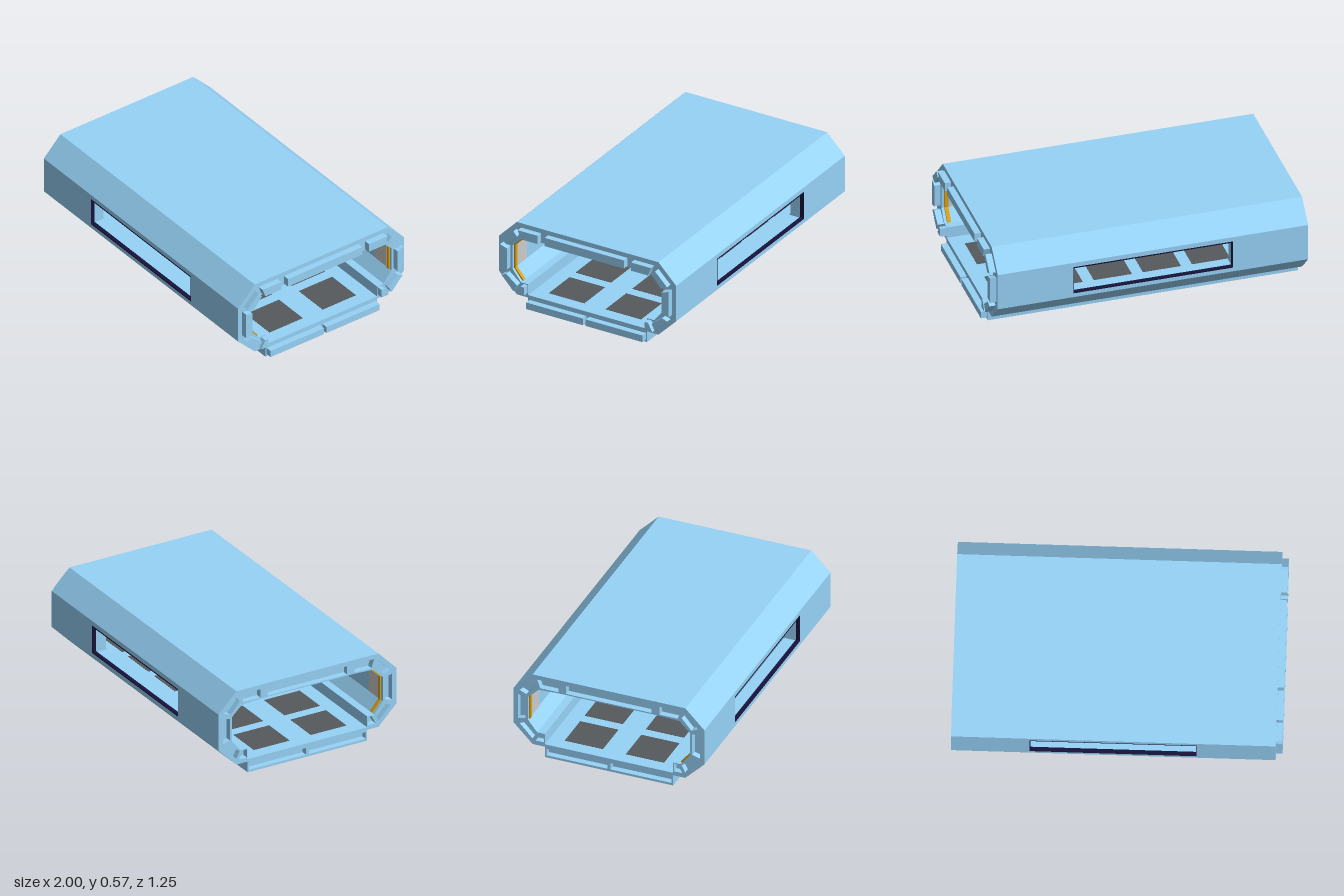
import * as THREE from 'three';

const paint = (color) => new THREE.MeshStandardMaterial({ color, flatShading: true });

// Cross-sections are lists of [z, y]; mirrored() closes a half outline across z = 0
const mirrored = (half) => [...half, ...half.map(([z, y]) => [-z, y]).reverse()];
const OUTER_HALF = [[0.42, 0], [0.42, 0.073], [0.5, 0.073], [0.625, 0.198], [0.625, 0.44], [0.5, 0.567]];
const INNER_HALF = [[0.42, 0.09], [0.42, 0.163], [0.47, 0.163], [0.53, 0.238], [0.53, 0.4], [0.46, 0.467], [0.33, 0.473]];
const WINDOW = { x0: -0.525, x1: 0.483, y0: 0.225, y1: 0.41 };

// Interlocking joint outlines: tabs on one end, matching sockets on the other
const JOINTS_HALF = [
  [[0.47, 0.537], [0.33, 0.537], [0.33, 0.481], [0.45, 0.481]],
  [[0.585, 0.437], [0.5, 0.522], [0.475, 0.492], [0.54, 0.417]],
  [[0.595, 0.407], [0.545, 0.392], [0.545, 0.247], [0.595, 0.233]],
  [[0.585, 0.202], [0.55, 0.217], [0.475, 0.157], [0.5, 0.112]],
  [[0.48, 0.102], [0.425, 0.102], [0.425, 0.157], [0.45, 0.157]],
  [[0.41, 0.015], [0.01, 0.015], [0.01, 0.06], [0.41, 0.06]],
];
const JOINTS = [
  [[0.28, 0.537], [-0.28, 0.537], [-0.28, 0.481], [0.28, 0.481]],
  ...JOINTS_HALF,
  ...JOINTS_HALF.map((pts) => pts.map(([z, y]) => [-z, y])),
];

// Counter-clockwise outline, so walls of both shape and holes face the right way
function toPoints(pts) {
  const points = pts.map(([z, y]) => new THREE.Vector2(-z, y));
  return THREE.ShapeUtils.isClockWise(points) ? points.reverse() : points;
}

// Extrude a cross-section along x from x0 to x1
function extrudeX(pts, holes, x0, x1) {
  const shape = new THREE.Shape(toPoints(pts));
  for (const h of holes) shape.holes.push(new THREE.Path(toPoints(h).reverse()));
  const geo = new THREE.ExtrudeGeometry(shape, { depth: x1 - x0, bevelEnabled: false });
  geo.rotateY(Math.PI / 2);
  geo.translate(x0, 0, 0);
  return geo;
}

export function createModel() {
  const group = new THREE.Group();
  const blue = paint(0x97d3f8);
  const gold = paint(0xd9a013);
  const navy = paint(0x17123a);
  const dark = paint(0x555a5c);
  const grey = paint(0xcccccc);

  const add = (name, geo, mat) => {
    const mesh = new THREE.Mesh(geo, mat);
    mesh.name = name;
    group.add(mesh);
    return mesh;
  };
  const box = (name, mat, x0, x1, y0, y1, z0, z1) =>
    add(name, new THREE.BoxGeometry(x1 - x0, y1 - y0, Math.abs(z1 - z0)), mat)
      .position.set((x0 + x1) / 2, (y0 + y1) / 2, (z0 + z1) / 2);

  const outer = mirrored(OUTER_HALF);
  const inner = mirrored(INNER_HALF);

  // Hull: socketed end, two full rings, and the open stretch between the windows
  add('socketEnd', extrudeX(outer, [inner, ...JOINTS], -1, -0.96), blue);
  add('hullRear', extrudeX(outer, [inner], -0.96, WINDOW.x0), blue);
  add('hullFront', extrudeX(outer, [inner], WINDOW.x1, 0.96), blue);
  add('hullRoof', extrudeX(mirrored([
    [0.5, 0.567], [0.625, 0.44], [0.625, WINDOW.y1], [0.52, WINDOW.y1], [0.46, 0.467], [0.33, 0.473],
  ]), [], WINDOW.x0, WINDOW.x1), blue);
  add('hullBase', extrudeX(mirrored([
    [0.42, 0], [0.42, 0.073], [0.5, 0.073], [0.625, 0.198], [0.625, WINDOW.y0],
    [0.52, WINDOW.y0], [0.47, 0.163], [0.42, 0.163], [0.42, 0.09],
  ]), [], WINDOW.x0, WINDOW.x1), blue);

  // Joint tabs
  for (const joint of JOINTS) add('jointTab', extrudeX(joint, [], 0.96, 1), blue);

  // Floor plates in two rows, almost flush
  for (let i = 0; i < 6; i++) {
    const x = -0.02 + (i - 2.5) * 0.31;
    for (const s of [1, -1]) {
      box('floorPlate', dark, x - 0.12, x + 0.12, 0.085, 0.0915, s * 0.2 - 0.125, s * 0.2 + 0.125);
    }
  }

  for (const s of [1, -1]) {
    // Thin dark window surround along the outer edge of the opening
    const { x0, x1, y0, y1 } = WINDOW;
    const zi = s * 0.6, zo = s * 0.6255;
    box('windowTrimTop', navy, x0, x1, y1 - 0.008, y1, zi, zo);
    box('windowTrimBottom', navy, x0, x1, y0, y0 + 0.008, zi, zo);
    box('windowTrimSide', navy, x0, x0 + 0.003, y0, y1, zi, zo);
    box('windowTrimSide', navy, x1 - 0.003, x1, y0, y1, zi, zo);

    // Gold bands and pale liners on the inner wall; only the +z side wraps its corners
    const strip = s > 0
      ? [[0.35, 0.474], [0.462, 0.469], [0.532, 0.402], [0.532, 0.236], [0.472, 0.164],
        [0.464, 0.17], [0.522, 0.241], [0.522, 0.396], [0.457, 0.459], [0.35, 0.468]]
      : [[-0.532, 0.4], [-0.532, 0.238], [-0.522, 0.238], [-0.522, 0.4]];
    for (const e of [1, -1]) {
      const x = -0.02 + e * 0.95;
      add('wallBand', extrudeX(strip, [], x - 0.012, x + 0.012), gold);
      const a = -0.02 + e * 0.82, b = -0.02 + e * 0.93;
      box('wallLiner', grey, Math.min(a, b), Math.max(a, b), 0.242, 0.396, s * 0.525, s * 0.532);
    }
  }

  // Gold strip along the ceiling edge
  box('ceilingStrip', gold, -0.9, 0.9, 0.466, 0.474, 0.35, 0.43);

  return group;
}
